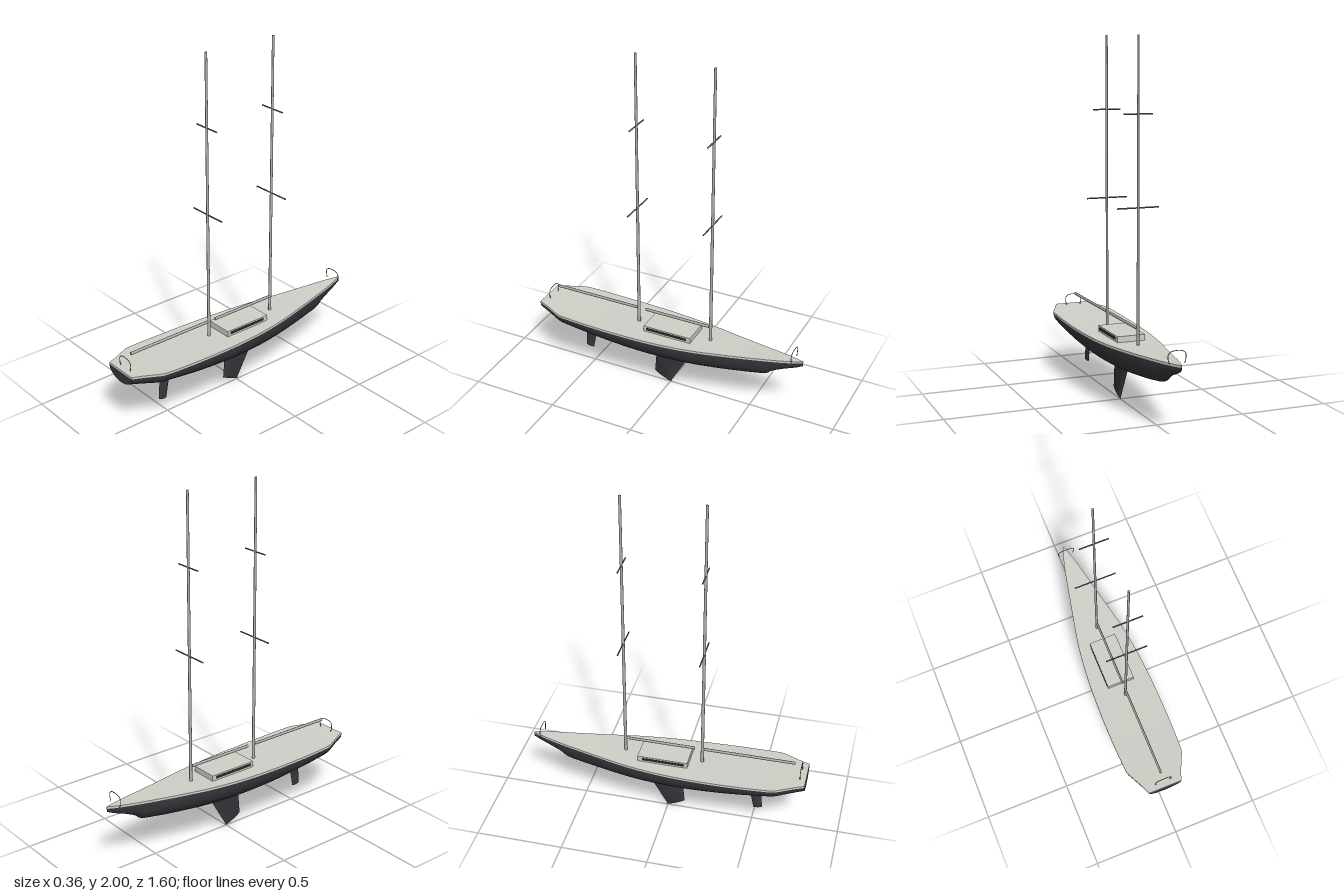
import * as THREE from 'three';
import { toCreasedNormals } from 'three/addons/utils/BufferGeometryUtils.js';

const flat = (name, color, extra = {}) => {
  const m = new THREE.MeshStandardMaterial({ color, ...extra });
  m.name = name;
  return m;
};

// Skin a list of equal-length rings and close both ends.
function loft(rings, closed, crease = 0.6) {
  const n = rings[0].length, pos = rings.flat(2), idx = [];
  const spans = closed ? n : n - 1;
  for (let i = 0; i < rings.length - 1; i++) {
    for (let j = 0; j < spans; j++) {
      const a = i * n + j, c = i * n + (j + 1) % n, b = a + n, d = c + n;
      idx.push(a, c, b, c, d, b);
    }
  }
  const last = (rings.length - 1) * n;
  for (let j = 1; j < n - 1; j++) {
    idx.push(0, j + 1, j, last, last + j, last + j + 1);
  }
  const g = new THREE.BufferGeometry();
  g.setAttribute('position', new THREE.Float32BufferAttribute(pos, 3));
  g.setIndex(idx);
  return toCreasedNormals(g, crease);
}

// Fin with a lens-shaped section; each level is [zAft, yAft, zFore, yFore, halfThickness].
function fin(levels, steps = 8) {
  return loft(levels.map(([za, ya, zf, yf, t]) => {
    const ring = [];
    for (let k = 0; k < steps * 2; k++) {
      const side = k < steps ? 1 : -1;
      const u = side > 0 ? k / steps : 2 - k / steps;
      const x = side * t * Math.pow(Math.sin(Math.PI * u), 0.6) || 0;
      ring.push([x, yf + (ya - yf) * u, zf + (za - zf) * u]);
    }
    return ring;
  }), true);
}

export function createModel() {
  const model = new THREE.Group();
  model.name = 'sailingBoat';
  const hullPaint = flat('charcoal hull', 0x38373c);
  const deckPaint = flat('pale deck', 0xd0d0c9);
  const sparPaint = flat('grey spar', 0xb0b0ac);
  const darkTrim = flat('dark trim', 0x2b2b2e);
  const wire = flat('rail steel', 0x77777a);

  const add = (name, geometry, material, parent = model) => {
    const mesh = new THREE.Mesh(geometry, material);
    mesh.name = name;
    parent.add(mesh);
    return mesh;
  };

  // Hull stations: half beam, keel height, z (stern to bow)
  const stations = new THREE.CatmullRomCurve3([
    [0.100, 0.312, 0.80], [0.122, 0.298, 0.745], [0.148, 0.286, 0.69],
    [0.170, 0.275, 0.64], [0.176, 0.263, 0.57], [0.180, 0.237, 0.40],
    [0.178, 0.216, 0.20], [0.167, 0.208, 0.00], [0.142, 0.212, -0.20],
    [0.101, 0.229, -0.40], [0.073, 0.247, -0.53], [0.058, 0.262, -0.60],
    [0.052, 0.285, -0.627], [0.037, 0.317, -0.69], [0.017, 0.345, -0.76],
    [0.002, 0.366, -0.803],
  ].map(p => new THREE.Vector3(...p))).getPoints(90);
  const sheer = z => 0.366 + (z > 0 ? 0.02 : 0.03) * (z / 0.8) ** 2;
  const lip = 0.012;

  add('hull', loft(stations.map(({ x: w, y: keel, z }) => {
    const top = sheer(z) - lip, ring = [];
    for (let j = 0; j <= 24; j++) {
      const a = Math.PI * j / 24;
      ring.push([w * Math.cos(a), top - (top - keel) * Math.sin(a), z]);
    }
    return ring;
  }), false), hullPaint);

  // Deck slab with its pale edge
  add('deck', loft(stations.map(({ x: w, z }) => {
    const y = sheer(z);
    return [[-w, y - lip, z], [-w, y, z], [w, y, z], [w, y - lip, z]];
  }), false), deckPaint);

  // Keel and rudder
  add('keel', fin([
    [0.083, 0.25, -0.14, 0.25, 0.0125],
    [0.099, 0.06, -0.005, 0.012, 0.010],
    [0.100, 0.053, -0.01, 0.003, 0.007],
  ]), hullPaint);
  add('rudder', fin([
    [0.543, 0.29, 0.470, 0.28, 0.011],
    [0.557, 0.10, 0.506, 0.092, 0.008],
  ]), hullPaint);

  // Cabin with a long window on each side
  const cabin = new THREE.Group();
  cabin.name = 'cabin';
  model.add(cabin);
  add('cabinHouse', new THREE.BoxGeometry(0.16, 0.042, 0.29), deckPaint, cabin)
    .position.set(0, 0.379, -0.015);
  for (const s of [1, -1]) {
    add('cabinWindow', new THREE.BoxGeometry(0.004, 0.015, 0.245), darkTrim, cabin)
      .position.set(s * 0.08, 0.384, -0.01);
  }

  // Two rigs: oval mast, boom and two pairs of spreaders
  for (const [name, z, boomStart, boomEnd] of [
    ['foreRig', -0.25, -0.24, 0.157], ['mainRig', 0.20, 0.21, 0.73],
  ]) {
    const rig = new THREE.Group();
    rig.name = name;
    model.add(rig);

    const mast = new THREE.CylinderGeometry(0.0075, 0.0095, 1.64, 14);
    mast.scale(0.75, 1, 1);
    add('mast', mast, sparPaint, rig).position.set(0, 1.18, z);

    const boom = new THREE.CylinderGeometry(0.009, 0.009, boomEnd - boomStart, 12);
    boom.rotateX(Math.PI / 2);
    boom.scale(0.7, 1, 1);
    add('boom', boom, sparPaint, rig)
      .position.set(0, 0.457, (boomStart + boomEnd) / 2);

    for (const [y, half] of [[1.105, 0.118], [1.595, 0.081]]) {
      const bar = new THREE.CylinderGeometry(0.004, 0.004, half * 2, 8);
      bar.rotateZ(Math.PI / 2);
      add('spreader', bar, wire, rig).position.set(0, y, z);
    }
  }

  // Arched rails at bow and stern
  for (const [name, z, foot, top] of [
    ['bowRail', -0.75, 0.393, 0.457], ['sternRail', 0.767, 0.38, 0.445],
  ]) {
    const path = new THREE.CatmullRomCurve3([
      [-0.042, foot], [-0.049, foot + 0.03], [-0.046, top - 0.012], [-0.028, top],
      [0.028, top], [0.046, top - 0.012], [0.049, foot + 0.03], [0.042, foot],
    ].map(([x, y]) => new THREE.Vector3(x, y, z)));
    add(name, new THREE.TubeGeometry(path, 40, 0.002, 6), wire);
  }

  return model;
}
